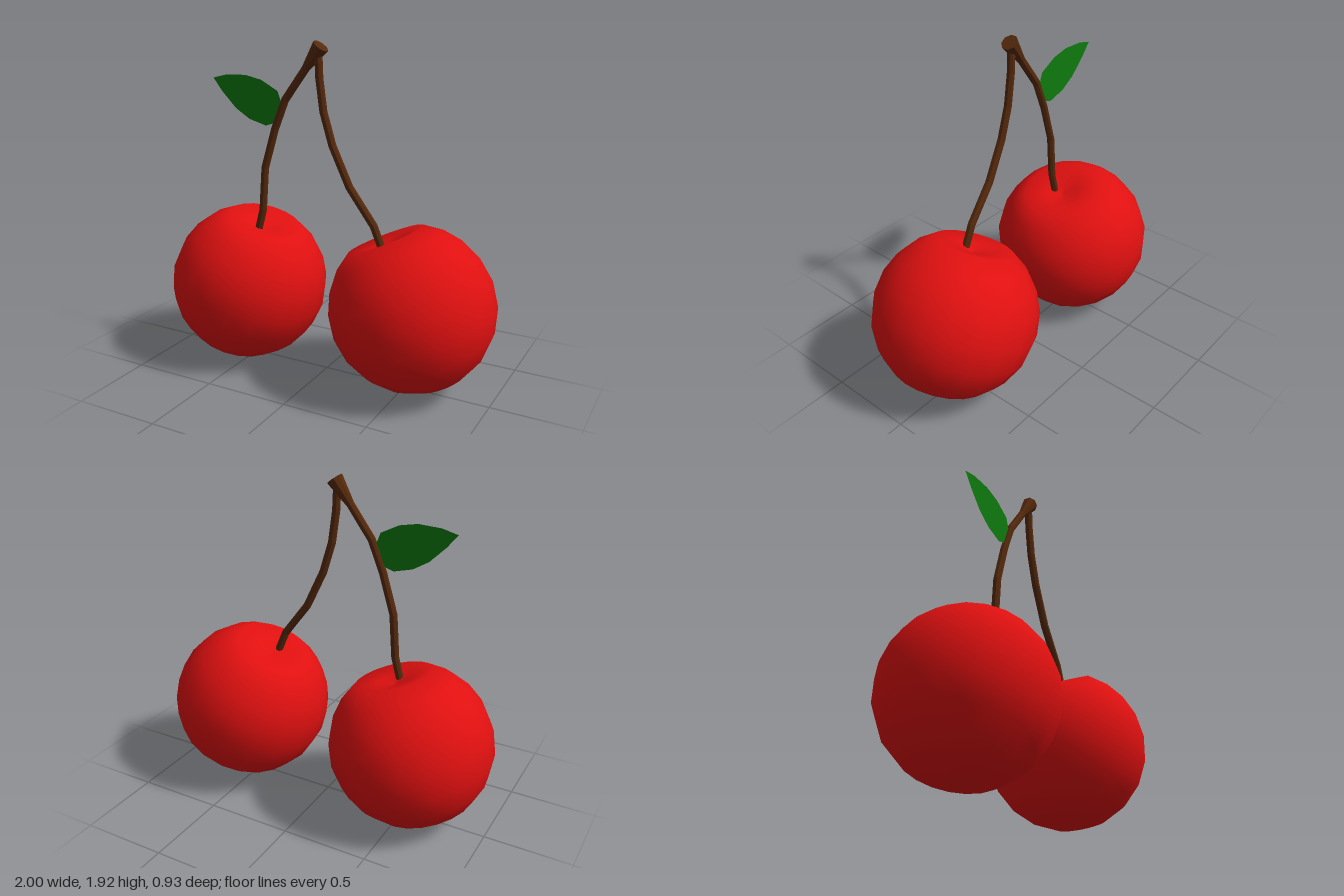
import * as THREE from 'three';

const RED = new THREE.MeshStandardMaterial({ color: 0xe01010 });
const BROWN = new THREE.MeshStandardMaterial({ color: 0x55290c, flatShading: true });
const GREEN = new THREE.MeshStandardMaterial({ color: 0x0e7a0e, side: THREE.DoubleSide });
const STEM_Z = 0.06;

// Fruit: a sphere whose top is pressed into a shallow dimple, tilted about z
function makeFruit(name, x, y, tilt) {
  const R = 0.467;
  const angles = [180, 162, 144, 126, 108, 90, 73, 58, 43.5, 28.3];
  const profile = angles.map((a) => {
    const t = THREE.MathUtils.degToRad(a);
    return new THREE.Vector2(Math.max(0, R * Math.sin(t)), R * Math.cos(t));
  });
  profile.push(new THREE.Vector2(0.1, 0.39), new THREE.Vector2(0, 0.365));
  const fruit = new THREE.Mesh(new THREE.LatheGeometry(profile, 20), RED);
  fruit.name = name;
  fruit.position.set(x, y, 0);
  fruit.rotation.z = THREE.MathUtils.degToRad(tilt);
  return fruit;
}

// Stem: eight-sided rings swept along [x, y, radius] points, closed at both ends
function makeStem(name, path) {
  const sides = 8, positions = [], index = [];
  const pts = path.map(([x, y]) => new THREE.Vector2(x, y));
  path.forEach(([x, y, r], i) => {
    const dir = pts[Math.min(i + 1, pts.length - 1)].clone().sub(pts[Math.max(i - 1, 0)]).normalize();
    for (let k = 0; k < sides; k++) {
      const a = ((k + 0.5) / sides) * Math.PI * 2;
      const u = r * Math.cos(a);
      positions.push(x + dir.y * u, y - dir.x * u, STEM_Z - r * Math.sin(a));
    }
  });
  for (let i = 0; i < path.length - 1; i++) {
    for (let k = 0; k < sides; k++) {
      const a = i * sides + k, b = i * sides + ((k + 1) % sides);
      index.push(a, b, b + sides, a, b + sides, a + sides);
    }
  }
  const last = (path.length - 1) * sides;
  for (let k = 1; k < sides - 1; k++) {
    index.push(0, k + 1, k, last, last + k, last + k + 1);
  }
  const geo = new THREE.BufferGeometry();
  geo.setAttribute('position', new THREE.Float32BufferAttribute(positions, 3));
  geo.setIndex(index);
  geo.computeVertexNormals();
  const stem = new THREE.Mesh(geo, BROWN);
  stem.name = name;
  return stem;
}

// Leaf: a thin flat blade
function makeLeaf() {
  const outline = [
    [-0.71, 1.695], [-0.65, 1.62], [-0.56, 1.53], [-0.47, 1.475], [-0.36, 1.445],
    [-0.3, 1.465], [-0.265, 1.53], [-0.255, 1.58], [-0.28, 1.645], [-0.385, 1.7],
    [-0.49, 1.722], [-0.62, 1.717],
  ].map(([x, y]) => new THREE.Vector2(x, y));
  const leaf = new THREE.Mesh(new THREE.ShapeGeometry(new THREE.Shape(outline)), GREEN);
  leaf.name = 'leaf';
  leaf.position.z = STEM_Z;
  return leaf;
}

export function createModel() {
  const group = new THREE.Group();
  group.name = 'cherries';
  const r = 0.022;
  group.add(
    makeFruit('rightCherry', -0.533, 0.47, -17.6),
    makeFruit('leftCherry', 0.533, 0.492, 24.3),
    // The right stem flares into the woody head
    makeStem('rightStem', [
      [-0.425, 0.82, r], [-0.39, 0.95, r], [-0.37, 1.2, r], [-0.3, 1.43, r],
      [-0.23, 1.6, r], [-0.1, 1.775, r], [-0.005, 1.9, 0.047],
    ]),
    makeStem('leftStem', [
      [0.375, 0.82, r], [0.32, 0.95, r], [0.17, 1.15, r], [0.065, 1.37, r],
      [0.01, 1.55, r], [-0.015, 1.73, r], [-0.02, 1.85, r],
    ]),
    makeLeaf(),
  );
  return group;
}
